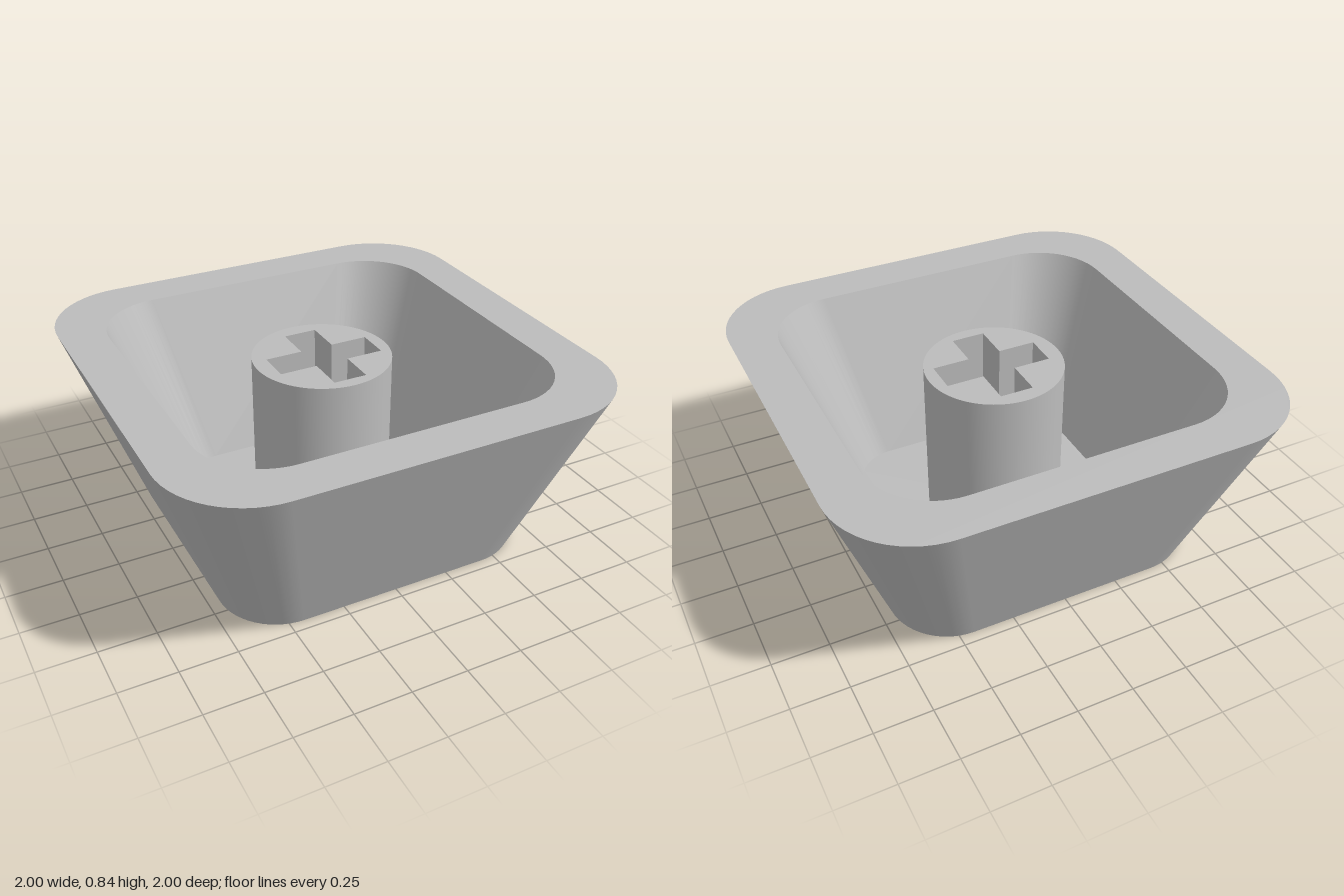
import * as THREE from 'three';
import { toCreasedNormals } from 'three/addons/utils/BufferGeometryUtils.js';

const HEIGHT = 0.84, FLOOR = 0.07, STEM_TOP = 0.8;
const CORNER = 0.38; // corner radius as a share of the half width

// Rounded square outline, counter-clockwise seen from above
function outline(half) {
  const r = half * CORNER, c = half - r, steps = 14, pts = [];
  for (let k = 0; k < 4; k++) {
    const cx = k === 0 || k === 3 ? c : -c, cy = k < 2 ? c : -c;
    for (let i = 0; i <= steps; i++) {
      const a = (k + i / steps) * Math.PI / 2;
      pts.push(new THREE.Vector2(cx + r * Math.cos(a), cy + r * Math.sin(a)));
    }
  }
  return pts;
}

// Smooth wall between two outlines at different heights
function wall(halfA, yA, halfB, yB) {
  const a = outline(halfA), b = outline(halfB), n = a.length;
  const pos = [], index = [];
  a.forEach(p => pos.push(p.x, yA, -p.y));
  b.forEach(p => pos.push(p.x, yB, -p.y));
  for (let i = 0; i < n; i++) {
    const j = (i + 1) % n;
    index.push(i, j, n + j, i, n + j, n + i);
  }
  const g = new THREE.BufferGeometry();
  g.setAttribute('position', new THREE.Float32BufferAttribute(pos, 3));
  g.setIndex(index);
  g.computeVertexNormals();
  return g;
}

// Flat horizontal face, facing up or down
function plate(shape, y, up = true) {
  return new THREE.ShapeGeometry(shape).rotateX(up ? -Math.PI / 2 : Math.PI / 2).translate(0, y, 0);
}

// Cross-shaped socket outline
function cross(cx, cy, long, thin) {
  const p = new THREE.Path();
  const pts = [];
  for (let k = 0; k < 4; k++) {
    const c = Math.round(Math.cos(k * Math.PI / 2)), s = Math.round(Math.sin(k * Math.PI / 2));
    for (const [x, y] of [[long, -thin], [long, thin], [thin, thin]]) {
      pts.push(new THREE.Vector2(cx + x * c - y * s, cy + x * s + y * c));
    }
  }
  p.setFromPoints(pts);
  p.closePath();
  return p;
}

export function createModel() {
  const group = new THREE.Group();
  group.name = 'upturnedKeycap';
  const grey = new THREE.MeshStandardMaterial({ color: 0xbcbcbc });
  grey.name = 'greyPlastic';
  const add = (name, geometry) => {
    const mesh = new THREE.Mesh(geometry, grey);
    mesh.name = name;
    group.add(mesh);
  };

  // Hollow tapered shell
  add('outerWall', wall(0.7, 0, 1, HEIGHT));
  add('innerWall', wall(0.8, HEIGHT, 0.525, FLOOR));
  const rim = new THREE.Shape(outline(1));
  rim.holes.push(new THREE.Path(outline(0.8)));
  add('rim', plate(rim, HEIGHT));
  add('innerFloor', plate(new THREE.Shape(outline(0.525)), FLOOR));
  add('underside', plate(new THREE.Shape(outline(0.7)), 0, false));

  // Round stem with a cross-shaped socket
  const stem = new THREE.Shape();
  stem.absarc(0, 0, 0.308, 0, Math.PI * 2);
  stem.holes.push(cross(0.008, -0.008, 0.243, 0.075));
  const stemGeometry = new THREE.ExtrudeGeometry(stem, {
    depth: STEM_TOP - FLOOR, bevelEnabled: false, curveSegments: 48,
  });
  stemGeometry.rotateX(-Math.PI / 2).translate(0, FLOOR, 0);
  add('stem', toCreasedNormals(stemGeometry, 0.6));

  return group;
}
